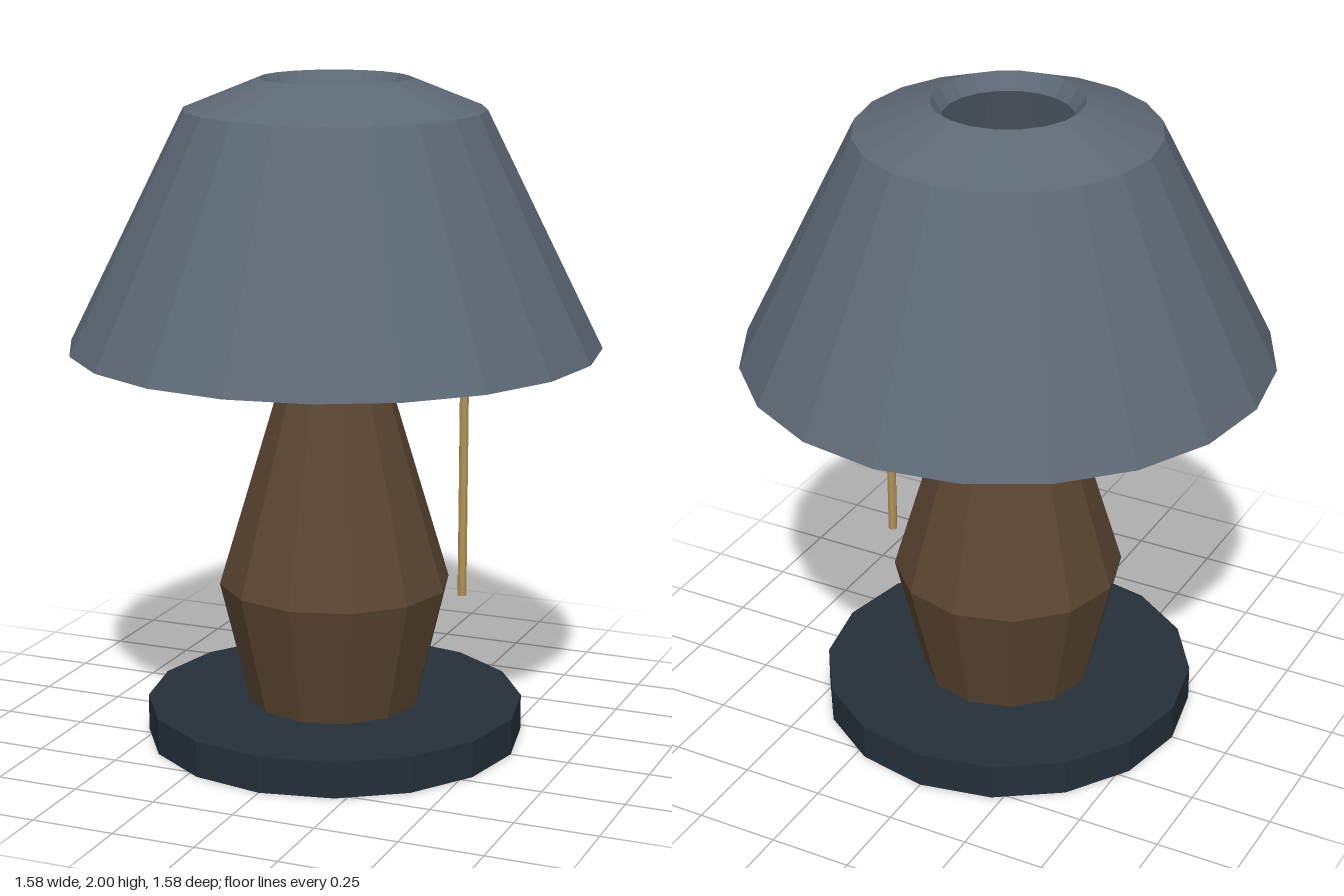
import * as THREE from 'three';

const flat = (name, color) => {
  const m = new THREE.MeshStandardMaterial({ color, flatShading: true });
  m.name = name;
  return m;
};

export function createModel() {
  const slate = flat('slate fabric', 0x5d6975);
  const wood = flat('dark wood', 0x5b4632);
  const brass = flat('brass', 0xae9259);
  const iron = flat('dark iron', 0x24303a);

  const lamp = new THREE.Group();
  lamp.name = 'tableLamp';

  const add = (name, geometry, material, x = 0, y = 0) => {
    const mesh = new THREE.Mesh(geometry, material);
    mesh.name = name;
    mesh.position.set(x, y, 0);
    lamp.add(mesh);
  };
  const lathe = (profile, sides) =>
    new THREE.LatheGeometry(profile.map(([r, y]) => new THREE.Vector2(r, y)), sides);
  // Upright cylinder placed by its bottom and top heights
  const post = (name, r, y0, y1, sides, material, x = 0) =>
    add(name, new THREE.CylinderGeometry(r, r, y1 - y0, sides), material, x, (y0 + y1) / 2);

  // Foot disc
  post('base', 0.571, 0, 0.11, 16, iron);

  // Faceted body, widest below the middle
  add('body', lathe([[0, 0.105], [0.26, 0.105], [0.35, 0.48], [0.161, 1.11], [0, 1.11]], 12), wood);

  // Collar and pull cord
  post('neck', 0.161, 1.11, 1.25, 12, brass);
  post('pullCord', 0.014, 0.48, 1.23, 8, brass, 0.41);

  // Hollow shade with a closed underside and an open, inward-sloping top rim
  add('shade', lathe([
    [0, 1.21], [0.792, 1.21], [0.445, 1.91], [0.222, 2],
    [0.19, 1.95], [0.41, 1.87], [0.73, 1.235], [0, 1.235],
  ], 20), slate);

  return lamp;
}
